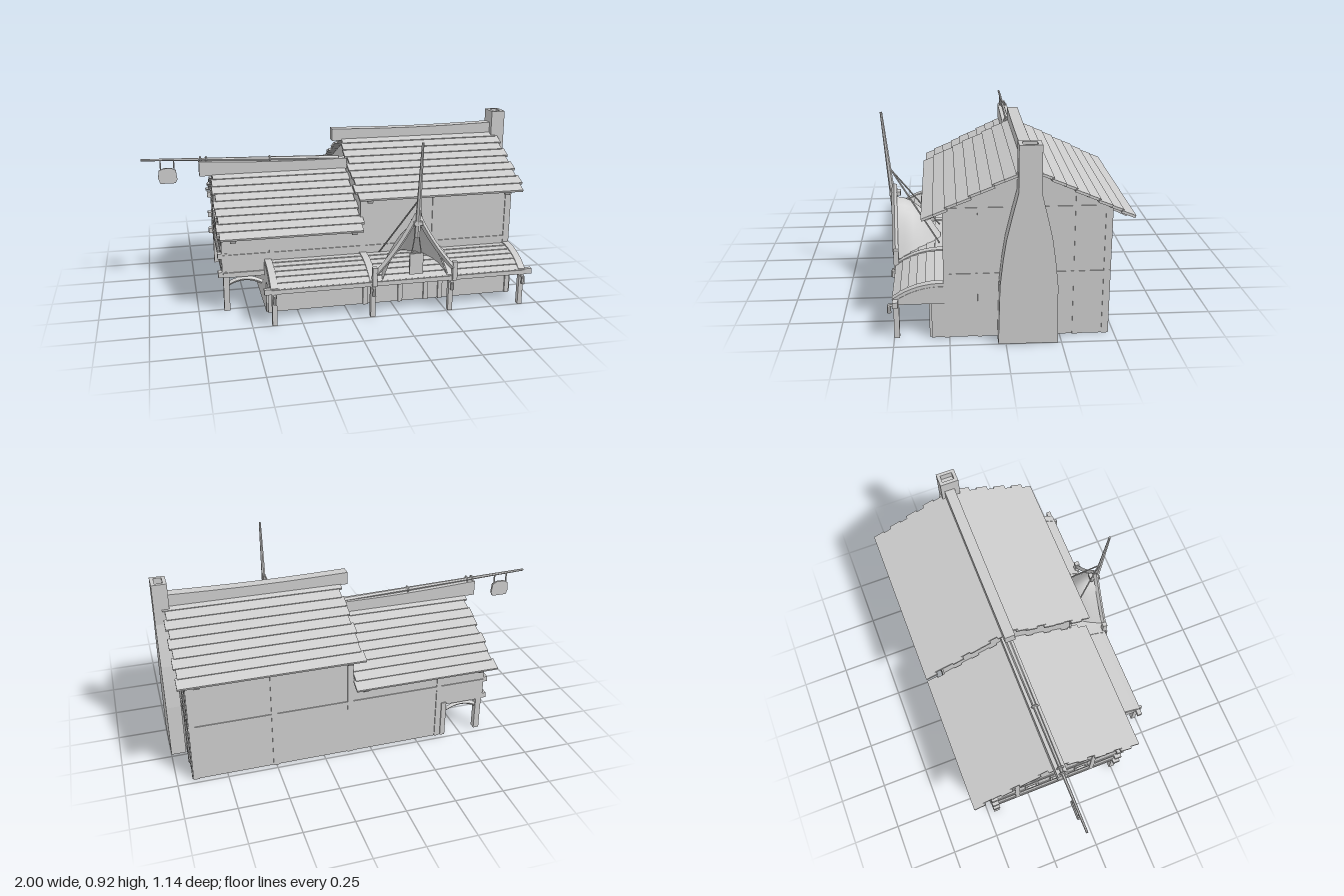
import * as THREE from 'three';

const mat = new THREE.MeshStandardMaterial({ color: 0xcccccc, flatShading: true });
const wallMat = new THREE.MeshStandardMaterial({ color: 0xcccccc, flatShading: true, side: THREE.DoubleSide });
const shellMat = new THREE.MeshStandardMaterial({ color: 0xcccccc, side: THREE.DoubleSide });
const V = (x, y, z) => new THREE.Vector3(x, y, z);
const RIDGE = -0.1, FRONT = 0.27, BACK = -0.47, LEFT = 0.92, MID = 0.1, RIGHT = -0.62, BASE = -0.41;
const SLOPE = Math.atan(0.49);

export function createModel() {
  const root = new THREE.Group();
  const group = (name) => { const g = new THREE.Group(); g.name = name; root.add(g); return g; };
  const add = (parent, name, geo, m = mat) => {
    const o = new THREE.Mesh(geo, m); o.name = name; parent.add(o); return o;
  };
  // box given by its limits on each axis
  const box = (p, name, x0, x1, y0, y1, z0, z1) => {
    const o = add(p, name, new THREE.BoxGeometry(x1 - x0, y1 - y0, z1 - z0));
    o.position.set((x0 + x1) / 2, (y0 + y1) / 2, (z0 + z1) / 2); return o;
  };
  // tapered rod between two points
  const rod = (p, name, a, b, r0, r1 = r0) => {
    const o = add(p, name, new THREE.CylinderGeometry(r1, r0, a.distanceTo(b), 6));
    o.position.copy(a).lerp(b, 0.5);
    o.quaternion.setFromUnitVectors(V(0, 1, 0), b.clone().sub(a).normalize());
  };
  // flat wall in the z-y plane facing dir along x
  const endWall = (p, name, x, dir, pts) => {
    const s = new THREE.Shape(pts.map(([z, y]) => new THREE.Vector2(-dir * z, y)));
    const o = add(p, name, new THREE.ShapeGeometry(s), wallMat);
    o.rotation.y = dir * Math.PI / 2; o.position.x = x;
  };
  const longWall = (p, name, x0, x1, y0, y1, z, dir) => {
    const o = add(p, name, new THREE.PlaneGeometry(x1 - x0, y1 - y0), wallMat);
    o.position.set((x0 + x1) / 2, (y0 + y1) / 2, z); if (dir < 0) o.rotation.y = Math.PI;
  };

  // walls
  const walls = group('walls');
  const gable = (y0, eave, peak) => [[FRONT, y0], [FRONT, eave], [RIDGE, peak], [BACK, eave], [BACK, y0]];
  endWall(walls, 'leftGable', LEFT, 1, gable(0, 0.61, 0.79));
  endWall(walls, 'middleGable', MID, -1, gable(0.42, 0.61, 0.79));
  endWall(walls, 'rightGable', RIGHT, -1, gable(0.2, 0.445, 0.62));
  endWall(walls, 'groundEndWall', BASE, -1, [[0.33, 0], [0.33, 0.19], [BACK, 0.19], [BACK, 0]]);
  endWall(walls, 'groundSideWall', LEFT, 1, [[0.33, 0], [0.33, 0.17], [FRONT, 0.17], [FRONT, 0]]);
  longWall(walls, 'groundFrontWall', BASE, LEFT, 0, 0.18, 0.33, 1);
  longWall(walls, 'groundBackWall', BASE, LEFT, 0, 0.2, BACK, -1);
  for (const [z, d] of [[FRONT, 1], [BACK, -1]]) {
    longWall(walls, 'wingWall', RIGHT, MID, 0.2, 0.445, z, d);
    longWall(walls, 'hallWall', MID, LEFT, 0.2, 0.61, z, d);
  }
  box(walls, 'overhangFloor', RIGHT, BASE, 0.185, 0.2, BACK, FRONT);

  // timber framing, almost flush with the walls
  const frame = group('timberFrame');
  for (const [z, y0] of [[FRONT, 0.2], [BACK, 0]]) {
    const a = z - 0.005, b = z + 0.005;
    for (const x of [0.11, 0.5, 0.905]) box(frame, 'post', x - 0.015, x + 0.015, y0, 0.6, a, b);
    box(frame, 'post', -0.382, -0.358, y0, 0.44, a, b);
    box(frame, 'sill', RIGHT, LEFT, 0.285, 0.305, a, b);
    box(frame, 'wallPlate', MID, LEFT, 0.585, 0.605, a, b);
    box(frame, 'wallPlate', RIGHT, MID, 0.41, 0.435, a, b);
  }
  box(frame, 'overhangBeam', RIGHT, BASE, 0.185, 0.21, FRONT - 0.01, FRONT + 0.008);
  box(frame, 'groundCornerPost', BASE - 0.006, BASE + 0.02, 0, 0.2, BACK - 0.006, BACK + 0.02);
  for (const z of [-0.455, -0.32, 0.11, 0.26]) {
    const top = 0.605 + 0.48 * Math.min(z - BACK, FRONT - z);
    box(frame, 'leftPost', LEFT - 0.01, LEFT + 0.004, 0, top, z - 0.012, z + 0.012);
    box(frame, 'rightPost', RIGHT - 0.005, RIGHT + 0.01, 0.2, top - 0.17, z - 0.012, z + 0.012);
  }
  for (const y of [0.3, 0.61]) box(frame, 'leftBeam', LEFT - 0.01, LEFT + 0.004, y - 0.012, y + 0.012, BACK, FRONT);
  for (const y of [0.2, 0.3, 0.42]) {
    box(frame, 'rightBeam', RIGHT - 0.005, RIGHT + 0.01, y - 0.012, y + 0.012, BACK, FRONT);
    for (const z of [-0.45, 0.255]) box(frame, 'beamEnd', RIGHT - 0.025, RIGHT + 0.03, y - 0.014, y + 0.014, z - 0.018, z + 0.018);
  }
  for (const z of [-0.24, -0.1, 0.04]) {
    const w = group('window');
    for (const s of [-1, 1]) {
      box(w, 'windowJamb', RIGHT - 0.01, RIGHT, 0.33, 0.39, z + s * 0.03 - 0.006, z + s * 0.03 + 0.006);
      box(w, 'windowRail', RIGHT - 0.01, RIGHT, 0.36 + s * 0.03 - 0.006, 0.36 + s * 0.03 + 0.006, z - 0.036, z + 0.036);
    }
  }
  for (const x of [-0.39, 0.11, 0.3, 0.44, 0.52, 0.9]) box(frame, 'groundPost', x - 0.012, x + 0.012, 0, 0.17, 0.325, 0.34);

  // wing overhang legs and curved braces
  for (const z of [-0.45, 0.255]) {
    box(frame, 'overhangLeg', RIGHT, RIGHT + 0.03, 0, 0.2, z - 0.016, z + 0.016);
    const c = new THREE.QuadraticBezierCurve3(V(-0.6, 0.14, z), V(-0.51, 0.195, z), V(-0.42, 0.14, z));
    add(frame, 'overhangBrace', new THREE.TubeGeometry(c, 10, 0.012, 4));
  }

  // plank roofs: overlapping rows with slightly uneven ends, rafters beneath
  const roof = (name, x0, x1, peak, rafterXs) => {
    const g = group(name), rows = 9, pitch = 0.46 / rows;
    for (const s of [-1, 1]) {
      for (let i = 0; i < rows; i++) {
        const d = (i + 0.5) * pitch, a = 0.008 * Math.sin(i * 2.3 + s), b = 0.008 * Math.sin(i * 3.1 - s);
        const o = box(g, 'roofPlank', x0 + a, x1 + b, -0.006, 0.006, -0.033, 0.033);
        o.position.y = peak - 0.49 * d; o.position.z = RIDGE + s * d;
        o.rotation.x = s * (SLOPE - 0.08);
      }
      for (const x of rafterXs) {
        const o = box(g, 'rafter', x - 0.014, x + 0.014, -0.012, 0.012, -0.25, 0.25);
        o.position.y = peak - 0.02 - 0.49 * 0.222; o.position.z = RIDGE + s * 0.222;
        o.rotation.x = s * SLOPE;
      }
    }
  };
  roof('hallRoof', 0.065, 0.955, 0.803, [0.13, 0.87]);
  roof('wingRoof', -0.64, 0.1, 0.64, [-0.57, 0.05]);
  // gently sagging ridge beams
  const ridge = (x0, x1, y0, yA, yB) => {
    const geo = new THREE.BoxGeometry(x1 - x0, 0.06, 0.055, 8), p = geo.attributes.position;
    for (let i = 0; i < p.count; i++) {
      const t = p.getX(i) / (x1 - x0) + 0.5;
      const top = yA + (yB - yA) * t - 0.008 * Math.sin(Math.PI * t);
      p.setY(i, p.getY(i) > 0 ? top : y0);
    }
    geo.computeVertexNormals();
    add(root, 'ridgeBeam', geo).position.set((x0 + x1) / 2, 0, RIDGE - 0.005);
  };
  ridge(0.02, 0.94, 0.79, 0.855, 0.855);
  ridge(-0.7, 0.1, 0.63, 0.71, 0.69);

  // chimney with tapering shoulders and an open flue
  const chimney = group('chimney');
  const half = [[0, 0.134], [0.28, 0.128], [0.4, 0.115], [0.5, 0.1], [0.6, 0.077], [0.66, 0.062], [0.71, 0.05], [0.885, 0.05]];
  const outline = new THREE.Shape([...half.map(([y, w]) => new THREE.Vector2(w, y)),
    ...half.slice().reverse().map(([y, w]) => new THREE.Vector2(-w, y))]);
  const stack = add(chimney, 'chimneyStack', new THREE.ExtrudeGeometry(outline, { depth: 0.075, bevelEnabled: false }));
  stack.rotation.y = Math.PI / 2; stack.position.set(0.925, 0, RIDGE);
  for (const s of [-1, 1]) {
    box(chimney, 'flueSide', 0.925, 1, 0.885, 0.92, RIDGE + s * 0.041 - 0.009, RIDGE + s * 0.041 + 0.009);
    box(chimney, 'flueEnd', 0.9625 + s * 0.0285 - 0.009, 0.9625 + s * 0.0285 + 0.009, 0.885, 0.92, RIDGE - 0.032, RIDGE + 0.032);
  }

  // curved porch awning with planks, ribs, front beam, posts and lanterns
  const porch = group('porch');
  const arc = new THREE.QuadraticBezierCurve(new THREE.Vector2(0.5, 0.195), new THREE.Vector2(0.4, 0.268), new THREE.Vector2(0.27, 0.265));
  const slab = (name, x0, x1, lift) => {
    const s = new THREE.Shape([new THREE.Vector2(-0.27, 0.17), ...arc.getPoints(8).reverse().map(p => new THREE.Vector2(-p.x, p.y + lift)),
      new THREE.Vector2(-0.5, 0.17)]);
    const o = add(porch, name, new THREE.ExtrudeGeometry(s, { depth: x1 - x0, bevelEnabled: false }));
    o.rotation.y = Math.PI / 2; o.position.x = x0;
  };
  slab('awning', -0.41, 0.925, -0.012);
  for (const x of [-0.39, 0.11, 0.52, 0.905]) {
    slab('awningRib', x - 0.018, x + 0.018, 0.004);
    box(porch, 'porchPost', x - 0.012, x + 0.012, 0, 0.18, 0.475, 0.5);
    box(porch, 'lanternBracket', x - 0.006, x + 0.006, 0.155, 0.165, 0.495, 0.525);
    add(porch, 'lantern', new THREE.CylinderGeometry(0.008, 0.01, 0.035, 6)).position.set(x, 0.14, 0.52);
  }
  for (let i = 0; i < 6; i++) {
    const p = arc.getPoint((i + 0.5) / 6), t = arc.getTangent((i + 0.5) / 6);
    const o = box(porch, 'awningPlank', -0.405, 0.92, -0.004, 0.004, -0.023, 0.023);
    o.position.y = p.y - 0.006; o.position.z = p.x; o.rotation.x = Math.atan2(t.y, -t.x) - 0.1;
  }
  box(porch, 'porchBeam', -0.44, 0.96, 0.168, 0.196, 0.478, 0.502);

  // pointed cowl over the entrance, lofted from arched sections [z, half width, base, top]
  const cowl = group('entranceCowl'), CX = 0.325, N = 16;
  const sections = [[0.505, 0.17, 0.2, 0.475], [0.46, 0.164, 0.215, 0.465], [0.42, 0.152, 0.23, 0.445],
    [0.38, 0.132, 0.24, 0.41], [0.34, 0.105, 0.25, 0.36], [0.305, 0.07, 0.255, 0.3], [0.285, 0.04, 0.255, 0.27]];
  const pos = [], idx = [];
  sections.forEach(([z, w, b, t], r) => {
    for (let i = 0; i <= N; i++) {
      const u = 2 * i / N - 1;
      pos.push(CX + w * u, b + (t - b) * (1 - Math.abs(u) ** 1.7), z);
      if (r && i) {
        const d = r * (N + 1) + i, c = d - N - 1;
        idx.push(c - 1, c, d - 1, c, d, d - 1);
      }
    }
  });
  const shell = new THREE.BufferGeometry();
  shell.setAttribute('position', new THREE.Float32BufferAttribute(pos, 3));
  shell.setIndex(idx); shell.computeVertexNormals();
  add(cowl, 'cowlShell', shell, shellMat);
  for (const s of [-1, 1]) {
    const edge = new THREE.QuadraticBezierCurve3(V(CX, 0.54, 0.512), V(CX + s * 0.08, 0.375, 0.512), V(CX + s * 0.2, 0.24, 0.505));
    add(cowl, 'bargeBoard', new THREE.TubeGeometry(edge, 10, 0.014, 4));
    box(cowl, 'doorPost', CX + s * 0.21 - 0.012, CX + s * 0.21 + 0.012, 0.17, 0.27, 0.49, 0.515);
    rod(cowl, 'stay', V(CX, 0.615, 0.525), V(CX + s * 0.13, 0.27, 0.29), 0.004);
    rod(cowl, 'signChain', V(CX + s * 0.025, 0.335, 0.515), V(CX + s * 0.01, 0.43, 0.515), 0.003);
  }
  rod(cowl, 'mast', V(CX, 0.42, 0.515), V(CX, 0.91, 0.563), 0.015, 0.006);
  box(cowl, 'mastCollar', CX - 0.022, CX + 0.022, 0.485, 0.505, 0.48, 0.535);
  box(cowl, 'hangingSign', CX - 0.035, CX + 0.035, 0.225, 0.335, 0.51, 0.522);

  // long pole on the wing ridge with a hanging plaque
  const pole = group('signPole');
  rod(pole, 'pole', V(0.06, 0.69, RIDGE - 0.005), V(-1, 0.728, RIDGE - 0.005), 0.014, 0.006);
  for (const x of [-0.69, -0.66, -0.32]) {
    const o = add(pole, 'poleLashing', new THREE.TorusGeometry(0.016, 0.005, 4, 8));
    o.position.set(x, 0.715 + (x + 0.69) * -0.036, RIDGE - 0.005); o.rotation.y = Math.PI / 2;
  }
  const plaque = new THREE.Shape([[-0.04, -0.04], [0.04, -0.04], [0.05, -0.02], [0.044, 0.03], [0.02, 0.042], [-0.02, 0.042], [-0.046, 0.03], [-0.05, -0.01]]
    .map(([x, y]) => new THREE.Vector2(x, y)));
  add(pole, 'plaque', new THREE.ExtrudeGeometry(plaque, { depth: 0.012, bevelEnabled: false })).position.set(-0.865, 0.635, RIDGE - 0.011);
  for (const x of [-0.9, -0.83]) rod(pole, 'plaqueChain', V(x, 0.66, RIDGE - 0.005), V(x, 0.725, RIDGE - 0.005), 0.004);

  return root;
}
